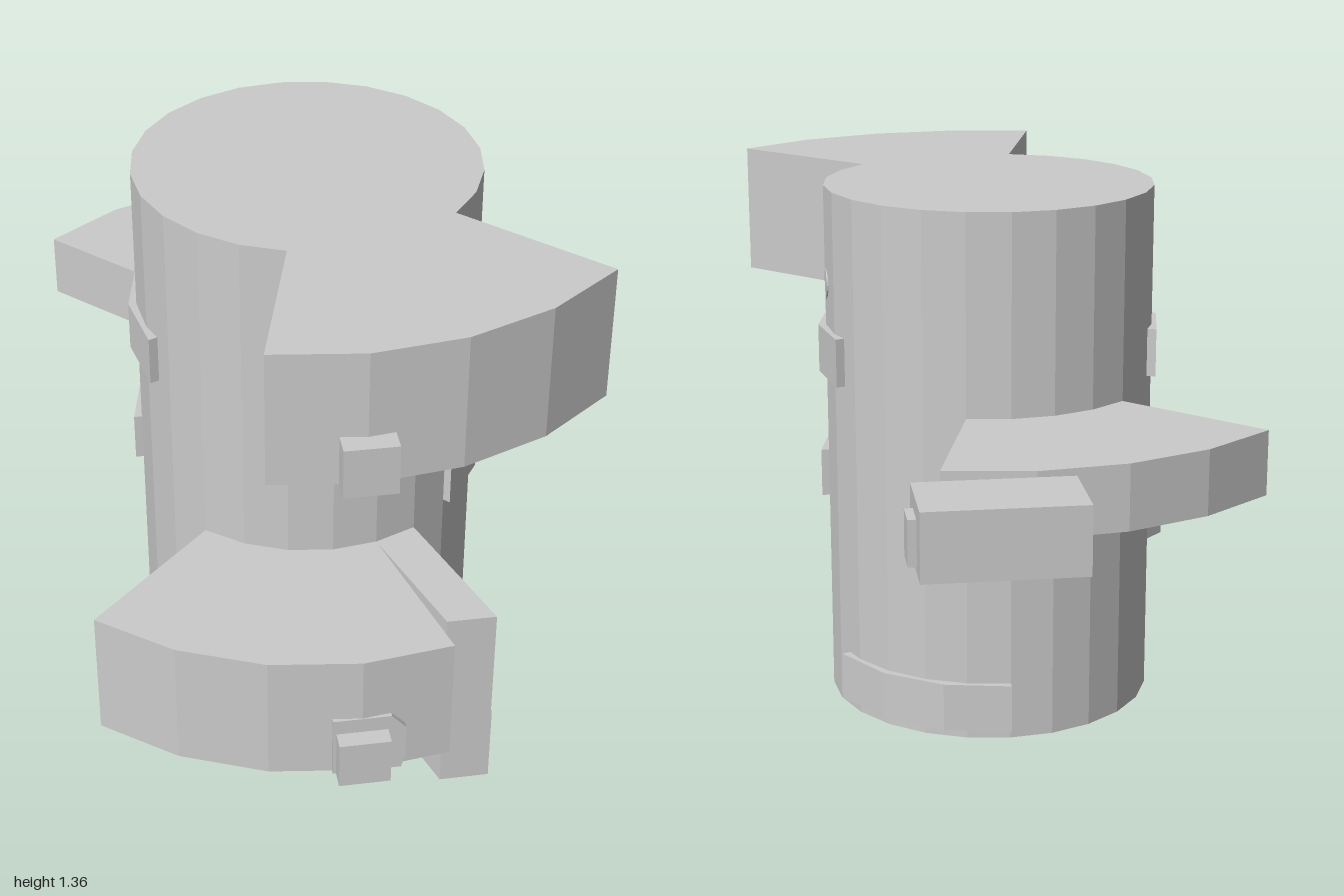
import * as THREE from 'three';

const CZ = 0.105; // z of the column axis
const R = 0.425; // column radius
const RO = 0.85; // outer radius of the wedges
const H = 1.363;
const material = new THREE.MeshStandardMaterial({ color: 0xcccccc, flatShading: true });

// Point [x, z] at an angle in degrees measured from the front towards +x
function polar(r, deg) {
  const a = THREE.MathUtils.degToRad(deg);
  return [r * Math.sin(a), CZ + r * Math.cos(a)];
}

// Upright prism over a ground plan of [x, z] points
function prism(points, y0, y1) {
  const shape = new THREE.Shape(points.map(([x, z]) => new THREE.Vector2(x, -z)));
  const g = new THREE.ExtrudeGeometry(shape, { depth: y1 - y0, bevelEnabled: false });
  return g.rotateX(-Math.PI / 2).translate(0, y0, 0);
}

// Ring segment between two radii and two angles
function ringSegment(rIn, rOut, a0, a1, step, y0, y1) {
  const outer = [], inner = [];
  const n = Math.round((a1 - a0) / step);
  for (let i = 0; i <= n; i++) {
    const a = a0 + i * step;
    outer.push(polar(rOut, a));
    inner.unshift(polar(rIn, a));
  }
  return prism([...outer, ...inner], y0, y1);
}

// Box given by its limits
function box(x0, x1, y0, y1, z0, z1) {
  return new THREE.BoxGeometry(x1 - x0, y1 - y0, z1 - z0)
    .translate((x0 + x1) / 2, (y0 + y1) / 2, (z0 + z1) / 2);
}

export function createModel() {
  const model = new THREE.Group();
  model.name = 'columnWithWedges';
  const add = (name, geometry) => {
    const mesh = new THREE.Mesh(geometry, material);
    mesh.name = name;
    model.add(mesh);
    return mesh;
  };

  // Central column
  add('column', new THREE.CylinderGeometry(R, R, H, 24).translate(0, H / 2, CZ));

  // Three wedge platforms
  add('upperWedge', ringSegment(R, RO, -15, 45, 15, 1.025, H));
  add('lowerWedge', ringSegment(R, RO, -45, 15, 15, 0.175, 0.51));
  add('rearWedge', ringSegment(R, RO, 165, 225, 15, 0.685, 0.85));

  // Raised bands, repeated half a turn apart
  const bands = [[67.5, 112.5, 0.875, 1.0], [45, 90, 0.535, 0.66], [112.5, 180, 0.025, 0.15]];
  for (const turn of [0, 180]) {
    for (const [a0, a1, y0, y1] of bands) {
      add('band', ringSegment(0.41, 0.445, a0 + turn, a1 + turn, 22.5, y0, y1));
    }
  }

  // Blocks on the outer face of each wedge
  add('upperBlock', box(-0.062, 0.062, 1.025, 1.15, 0.92, 1.0));
  add('lowerBlock', box(-0.062, 0.062, 0.175, 0.30, 0.92, 1.0));
  add('rearConnector', box(-0.062, 0.062, 0.685, 0.81, -0.80, -0.72));

  // Chamfered plate behind the lower block
  const plate = new THREE.Shape([
    [-0.07, 0.175], [0.095, 0.175], [0.105, 0.21], [0.105, 0.30], [0.07, 0.34], [-0.07, 0.34],
  ].map(([x, y]) => new THREE.Vector2(x, y)));
  add('lowerPlate', new THREE.ExtrudeGeometry(plate, { depth: 0.03, bevelEnabled: false })
    .translate(0, 0, 0.927));

  // Rear box with its end plate
  add('rearBox', box(-0.083, 0.295, 0.685, 0.85, -1.0, -0.79));
  add('rearEndPlate', box(0.29, 0.315, 0.70, 0.81, -0.93, -0.85));

  // Slotted bracket beside the lower wedge: two arms joined by a front post
  const arm = [polar(R, 15), [0.22, 0.84], [0.34, 0.84], polar(R, 30)];
  add('bracketUpperArm', prism(arm, 0.175, 0.51));
  add('bracketLowerArm', prism(arm, 0, 0.15));
  add('bracketPost', prism([[0.20, 0.77], [0.22, 0.84], [0.34, 0.84], [0.316, 0.77]], 0.15, 0.175));
  for (const z of [0.775, 0.835]) {
    const x = 0.34 - (0.84 - z) * 0.347;
    add('bracketRib', box(x - 0.02, x + 0.004, 0, 0.21, z - 0.005, z + 0.005));
  }

  // Round button on the front and disc on the side
  add('frontButton', new THREE.CylinderGeometry(0.021, 0.021, 0.05, 16)
    .rotateX(Math.PI / 2).translate(0, 0.745, 0.52));
  add('sideDisc', new THREE.CylinderGeometry(0.04, 0.04, 0.03, 20)
    .rotateZ(Math.PI / 2).translate(0.409, 1.11, 0.10));

  // Small studs on the wedge sides
  const stud = new THREE.SphereGeometry(0.005, 8, 6);
  for (const [angle, base] of [[45, 1.06], [-45, 0.21]]) {
    for (const dy of [0, 0.065, 0.135]) {
      const [x, z] = polar(0.45, angle);
      add('stud', stud).position.set(x, base + dy, z);
    }
  }
  return model;
}
